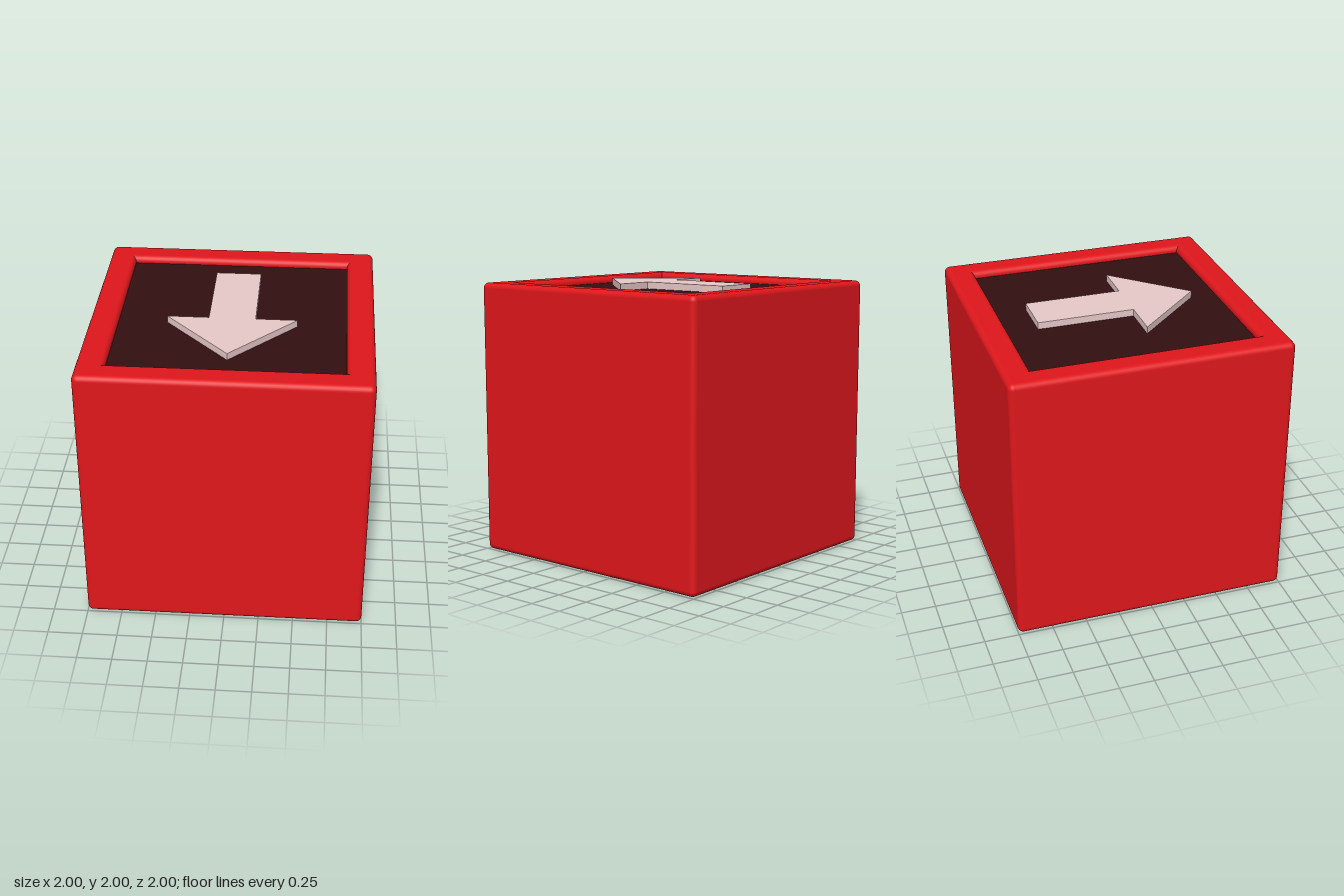
import * as THREE from 'three';

const BEVEL = 0.04, INNER = 0.805, FLOOR_Y = 1.95, STEPS = 6;

// Closed shell swept round a square: each profile point holds the half size of
// the square, its corner radius, the height, and the normal (outward, up).
function shellGeometry() {
  const profile = [{ half: 0, r: 0, y: 0, out: 0, up: -1 }];
  const arc = (from, half, y, rounded) => {
    for (let i = 0; i <= STEPS; i++) {
      const a = from + (i / STEPS) * Math.PI / 2;
      const out = Math.cos(a), up = Math.sin(a);
      profile.push({
        half: rounded ? half : half + BEVEL * out,
        r: rounded ? BEVEL * out : 0,
        y: y + BEVEL * up, out, up
      });
    }
  };
  arc(-Math.PI / 2, 1 - BEVEL, BEVEL, true);          // bottom edge
  arc(0, 1 - BEVEL, 2 - BEVEL, true);                 // top outer edge
  arc(Math.PI / 2, INNER + BEVEL, 2 - BEVEL, false);  // lip of the recess
  profile.push({ half: INNER, r: 0, y: FLOOR_Y - 0.02, out: -1, up: 0 });

  const positions = [], normals = [], index = [];
  const perLoop = 4 * (STEPS + 1);
  for (const p of profile) {
    for (let k = 0; k < 4; k++) {
      const mid = (k + 0.5) * Math.PI / 2;
      const sx = Math.sign(Math.cos(mid)), sz = Math.sign(Math.sin(mid));
      for (let i = 0; i <= STEPS; i++) {
        const a = (k + i / STEPS) * Math.PI / 2;
        const cx = Math.cos(a), cz = Math.sin(a);
        positions.push(sx * p.half + p.r * cx, p.y, sz * p.half + p.r * cz);
        normals.push(p.out * cx, p.up, p.out * cz);
      }
    }
  }
  for (let j = 0; j < profile.length - 1; j++) {
    for (let i = 0; i < perLoop; i++) {
      const n = (i + 1) % perLoop;
      const a = j * perLoop + i, b = j * perLoop + n;
      const c = a + perLoop, d = b + perLoop;
      index.push(a, c, d, a, d, b);
    }
  }
  const g = new THREE.BufferGeometry();
  g.setAttribute('position', new THREE.Float32BufferAttribute(positions, 3));
  g.setAttribute('normal', new THREE.Float32BufferAttribute(normals, 3));
  g.setIndex(index);
  return g;
}

// Arrow outline lying flat, pointing to the front
function arrowGeometry() {
  const outline = [[-0.165, -0.58], [0.165, -0.58], [0.165, 0.12], [0.46, 0.12],
    [0, 0.62], [-0.46, 0.12], [-0.165, 0.12]];
  const shape = new THREE.Shape(outline.map(([x, z]) => new THREE.Vector2(x, z)));
  const g = new THREE.ExtrudeGeometry(shape, { depth: 2 - FLOOR_Y, bevelEnabled: false });
  return g.rotateX(Math.PI / 2);
}

export function createModel() {
  const model = new THREE.Group();
  model.name = 'arrowBlock';
  const add = (name, geometry, color, y = 0) => {
    const mesh = new THREE.Mesh(geometry, new THREE.MeshStandardMaterial({ color }));
    mesh.name = name;
    mesh.position.y = y;
    model.add(mesh);
  };

  add('body', shellGeometry(), 0xe0171c);

  // Dark panel at the bottom of the recess
  const panel = new THREE.PlaneGeometry(2 * INNER, 2 * INNER).rotateX(-Math.PI / 2);
  add('recessPanel', panel, 0x330f11, FLOOR_Y);

  add('arrow', arrowGeometry(), 0xe8cac8, 2);
  return model;
}
